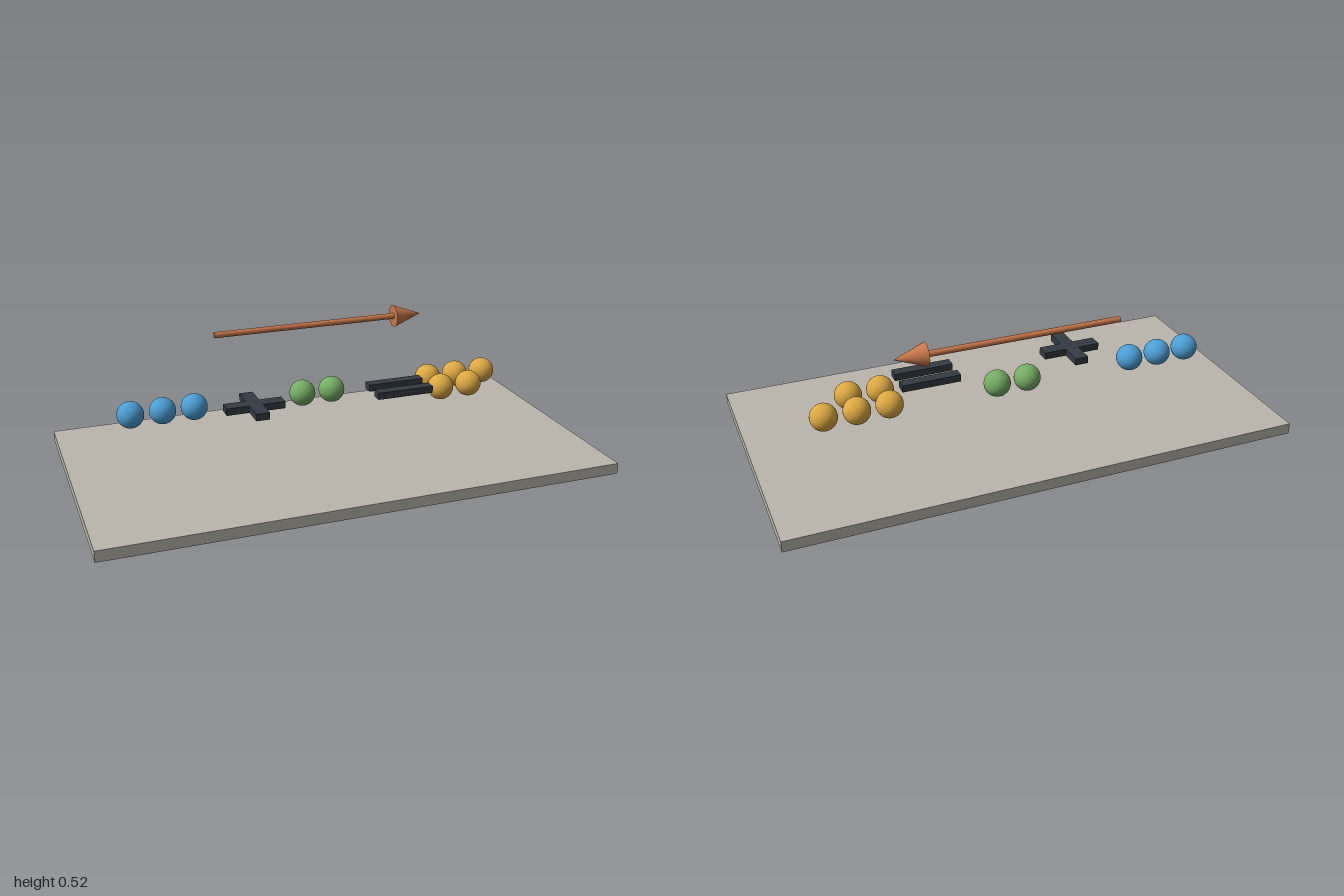
import * as THREE from 'three';

const mat = (name, color) => {
  const m = new THREE.MeshStandardMaterial({ color });
  m.name = name;
  return m;
};

export function createModel() {
  const model = new THREE.Group();
  model.name = 'additionBoard';
  const stone = mat('warm grey', 0xbab6ad);
  const dark = mat('charcoal', 0x343a42);
  const blue = mat('blue', 0x4c9fd6);
  const green = mat('green', 0x76ad66);
  const gold = mat('gold', 0xdda842);
  const copper = mat('copper', 0xc6764a);

  const add = (name, geometry, material, x, y, z, parent = model) => {
    const mesh = new THREE.Mesh(geometry, material);
    mesh.name = name;
    mesh.position.set(x, y, z);
    parent.add(mesh);
    return mesh;
  };
  const group = (name) => {
    const g = new THREE.Group();
    g.name = name;
    model.add(g);
    return g;
  };

  // Base board
  add('base', new THREE.BoxGeometry(2, 0.043, 1.066), stone, 0, 0.0215, 0);

  // Counting balls, laid out in rows
  const ball = new THREE.SphereGeometry(0.052, 32, 20);
  const pitch = 0.124, ballY = 0.237;
  const balls = (name, material, startX, rows) => {
    const g = group(name);
    rows.forEach(([count, z]) => {
      for (let i = 0; i < count; i++) add('ball', ball, material, startX + i * pitch, ballY, z, g);
    });
  };
  balls('firstAddend', blue, -0.747, [[3, -0.124]]);
  balls('secondAddend', green, -0.057, [[2, -0.124]]);
  balls('sum', gold, 0.493, [[3, -0.124], [2, 0]]);

  // Plus sign: two crossed bars
  const signY = 0.257;
  const plus = group('plusSign');
  add('plusBarAcross', new THREE.BoxGeometry(0.233, 0.028, 0.054), dark, -0.293, signY, 0, plus);
  add('plusBarDeep', new THREE.BoxGeometry(0.054, 0.028, 0.233), dark, -0.293, signY, 0, plus);

  // Equals sign: two parallel bars
  const equals = group('equalsSign');
  for (const z of [-0.048, 0.048])
    add('equalsBar', new THREE.BoxGeometry(0.233, 0.028, 0.043), dark, 0.309, signY, z, equals);

  // Arrow pointing toward the sum
  const arrow = group('arrow');
  const shaft = new THREE.CylinderGeometry(0.012, 0.012, 0.765, 20).rotateZ(-Math.PI / 2);
  const head = new THREE.ConeGeometry(0.045, 0.12, 28).rotateZ(-Math.PI / 2);
  add('arrowShaft', shaft, copper, 0.002, 0.478, -0.241, arrow);
  add('arrowHead', head, copper, 0.443, 0.478, -0.241, arrow);

  return model;
}
